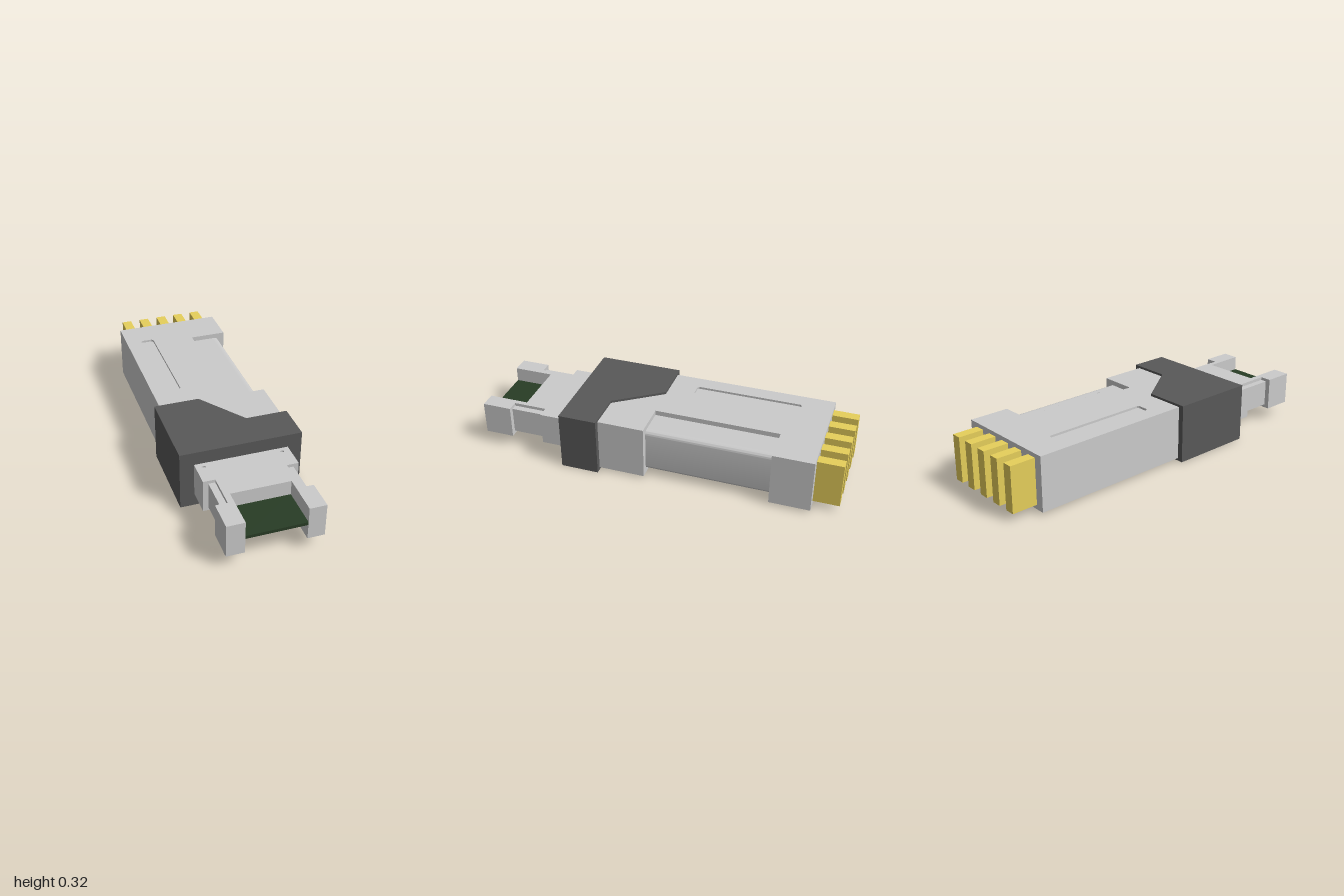
import * as THREE from 'three';
import { toCreasedNormals } from 'three/addons/utils/BufferGeometryUtils.js';

const mat = (color) => new THREE.MeshStandardMaterial({ color });

export function createModel() {
  const root = new THREE.Group();
  const grey = mat(0xcccccc), dark = mat(0x595959), gold = mat(0xe6cf5b), green = mat(0x283c25);

  const add = (name, geometry, material, parent = root) => {
    const mesh = new THREE.Mesh(geometry, material);
    mesh.name = name;
    parent.add(mesh);
    return mesh;
  };
  const box = (name, x0, x1, y0, y1, z0, z1, material, parent) =>
    add(name, new THREE.BoxGeometry(x1 - x0, y1 - y0, z1 - z0), material, parent)
      .position.set((x0 + x1) / 2, (y0 + y1) / 2, (z0 + z1) / 2);

  // Plate with an [x, z] outline and optional holes, standing from y0 to y1
  const plan = (outline, y0, y1, holes = []) => {
    const toPoints = (list) => list.map(([x, z]) => new THREE.Vector2(x, -z));
    const shape = new THREE.Shape(toPoints(outline));
    shape.holes = holes.map((h) => new THREE.Path(toPoints(h)));
    const g = new THREE.ExtrudeGeometry(shape, { depth: y1 - y0, bevelEnabled: false });
    return toCreasedNormals(g.rotateX(-Math.PI / 2).translate(0, y0, 0), 0.6);
  };
  // Capsule outline between two points
  const capsule = (x0, z0, x1, z1, r) => {
    const a = Math.atan2(z1 - z0, x1 - x0), pts = [];
    for (let i = 0; i < 14; i++) {
      const end = i >= 7;
      const t = a + Math.PI / 2 + (Math.PI * (i - (end ? 1 : 0))) / 6;
      pts.push([(end ? x1 : x0) + r * Math.cos(t), (end ? z1 : z0) + r * Math.sin(t)]);
    }
    return pts;
  };
  const rect = (x0, x1, z0, z1) => [[x0, z0], [x1, z0], [x1, z1], [x0, z1]];

  // Main housing with a side cut-out and a shallow groove on top
  const housing = new THREE.Group();
  housing.name = 'housing';
  root.add(housing);
  const bodyOutline = [
    [-0.295, 0.5], [0.295, 0.5], [0.295, 0.045], [0.095, 0.045],
    [0.095, -0.64], [0.295, -0.64], [0.295, -0.86], [-0.295, -0.86],
  ];
  add('housingCore', plan(bodyOutline, 0.015, 0.3), grey, housing);
  const groove = [
    [-0.2, -0.69], [-0.145, -0.69], [-0.135, -0.68], [-0.135, -0.11],
    [-0.145, -0.1], [-0.2, -0.1], [-0.21, -0.11], [-0.21, -0.68],
  ];
  add('housingTop', plan(bodyOutline, 0.3, 0.312, [groove]), grey, housing);

  // Side grip with rounded outer edges
  const grip = new THREE.Group();
  grip.name = 'sideGrip';
  root.add(grip);
  const s = new THREE.Shape();
  s.moveTo(0.09, 0.04);
  s.lineTo(0.235, 0.04);
  s.absarc(0.235, 0.065, 0.025, -Math.PI / 2, 0);
  s.lineTo(0.26, 0.26);
  s.absarc(0.235, 0.26, 0.025, 0, Math.PI / 2);
  s.lineTo(0.225, 0.285);
  s.lineTo(0.225, 0.272);
  s.lineTo(0.09, 0.272);
  const gripGeo = new THREE.ExtrudeGeometry(s, { depth: 0.685, bevelEnabled: false, curveSegments: 8 });
  add('gripBody', toCreasedNormals(gripGeo.translate(0, 0, -0.64), 0.6), grey, grip);

  // Slanted finger slots in the grip top
  const slots = [-0.49, -0.395, -0.305, -0.213, -0.12].map((z, i) => {
    const d = i === 4 ? 0.03 : 0.022;
    return capsule(0.168 - d, z - d, 0.168 + d, z + d, 0.011);
  });
  add('gripTop', plan(rect(0.09, 0.225, -0.64, 0.045), 0.272, 0.285, slots), grey, grip);

  // Dark collar with a diagonal rear edge
  add('collar', plan([
    [-0.325, 0.51], [0.325, 0.51], [0.325, 0.3], [0.1, 0.3], [-0.08, 0.045], [-0.325, 0.045],
  ], 0, 0.325), dark);

  // Front plug: forked outline, side notches, two pin holes on top
  const plug = new THREE.Group();
  plug.name = 'plug';
  root.add(plug);
  const plugOutline = [
    [-0.25, 0.5], [-0.25, 0.655], [-0.187, 0.655], [-0.187, 0.84], [-0.25, 0.84], [-0.25, 1],
    [-0.155, 1], [-0.155, 0.78], [0.16, 0.78], [0.16, 1],
    [0.25, 1], [0.25, 0.84], [0.187, 0.84], [0.187, 0.655], [0.25, 0.655], [0.25, 0.5],
  ];
  add('plugCore', plan(plugOutline, 0.072, 0.245), grey, plug);
  const pinHoles = [-0.21, 0.207].map((x) => capsule(x - 0.003, 0.541, x + 0.003, 0.541, 0.008));
  add('plugTop', plan(plugOutline, 0.245, 0.253, pinHoles), grey, plug);
  for (const side of [-1, 1]) {
    const a = side * 0.18, b = side * 0.222;
    box('sideLatch', Math.min(a, b), Math.max(a, b), 0.09, 0.236, 0.65, 0.845, grey, plug);
  }
  box('circuitBoard', -0.155, 0.16, 0.155, 0.172, 0.77, 1, green);

  // Rear contact blades
  for (let i = 0; i < 5; i++) {
    const x = -0.222 + i * 0.1095;
    box('contactBlade', x - 0.027, x + 0.027, 0.04, 0.29, -1, -0.85, gold);
  }
  return root;
}
